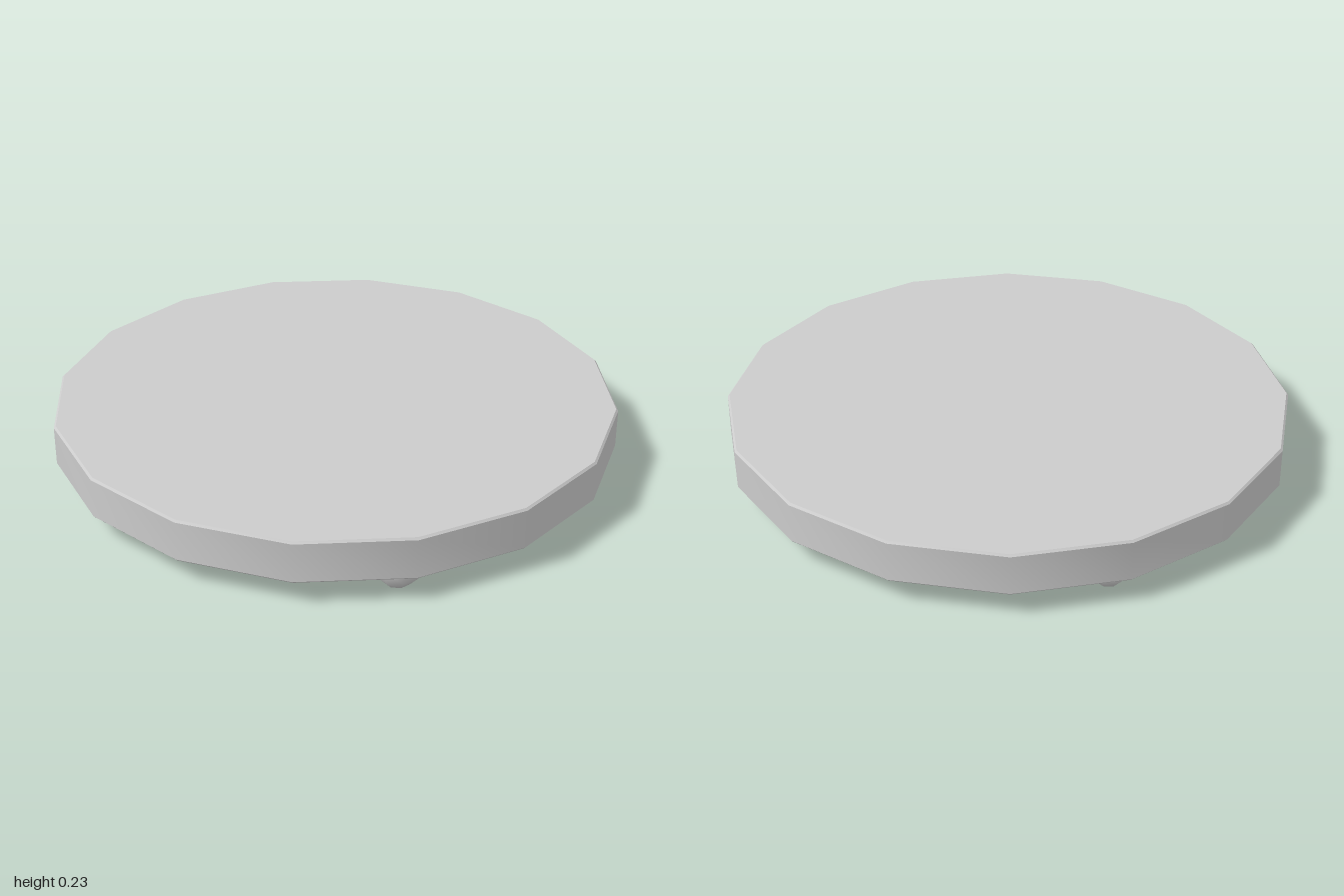
import * as THREE from 'three';
import { toCreasedNormals } from 'three/addons/utils/BufferGeometryUtils.js';

const material = new THREE.MeshStandardMaterial({ color: 0xcccccc });

// Revolves a bottom-to-top profile of [radius, height] pairs
function turned(name, profile, sides, crease) {
  const points = profile.map(([r, y]) => new THREE.Vector2(r, y));
  const geometry = toCreasedNormals(new THREE.LatheGeometry(points, sides), crease);
  const mesh = new THREE.Mesh(geometry, material);
  mesh.name = name;
  return mesh;
}

export function createModel() {
  const model = new THREE.Group();
  model.name = 'footedRoundBoard';

  // Sixteen-sided disc with a fine bevel on both rims
  model.add(turned('disc', [
    [0, 0.082], [0.993, 0.082], [1, 0.089], [1, 0.227], [0.993, 0.234], [0, 0.234],
  ], 16, Math.PI / 6));

  // Four rounded feet, sunk slightly into the underside
  const footProfile = [[0, 0], [0.043, 0.002], [0.076, 0.036], [0.086, 0.08], [0.08, 0.11], [0, 0.12]];
  for (const [sideName, x] of [['Left', 0.6], ['Right', -0.6]]) {
    for (const [endName, z] of [['front', 0.64], ['back', -0.62]]) {
      const foot = turned(`${endName}${sideName}Foot`, footProfile, 8, Math.PI / 3);
      foot.position.set(x, 0, z);
      model.add(foot);
    }
  }
  return model;
}
